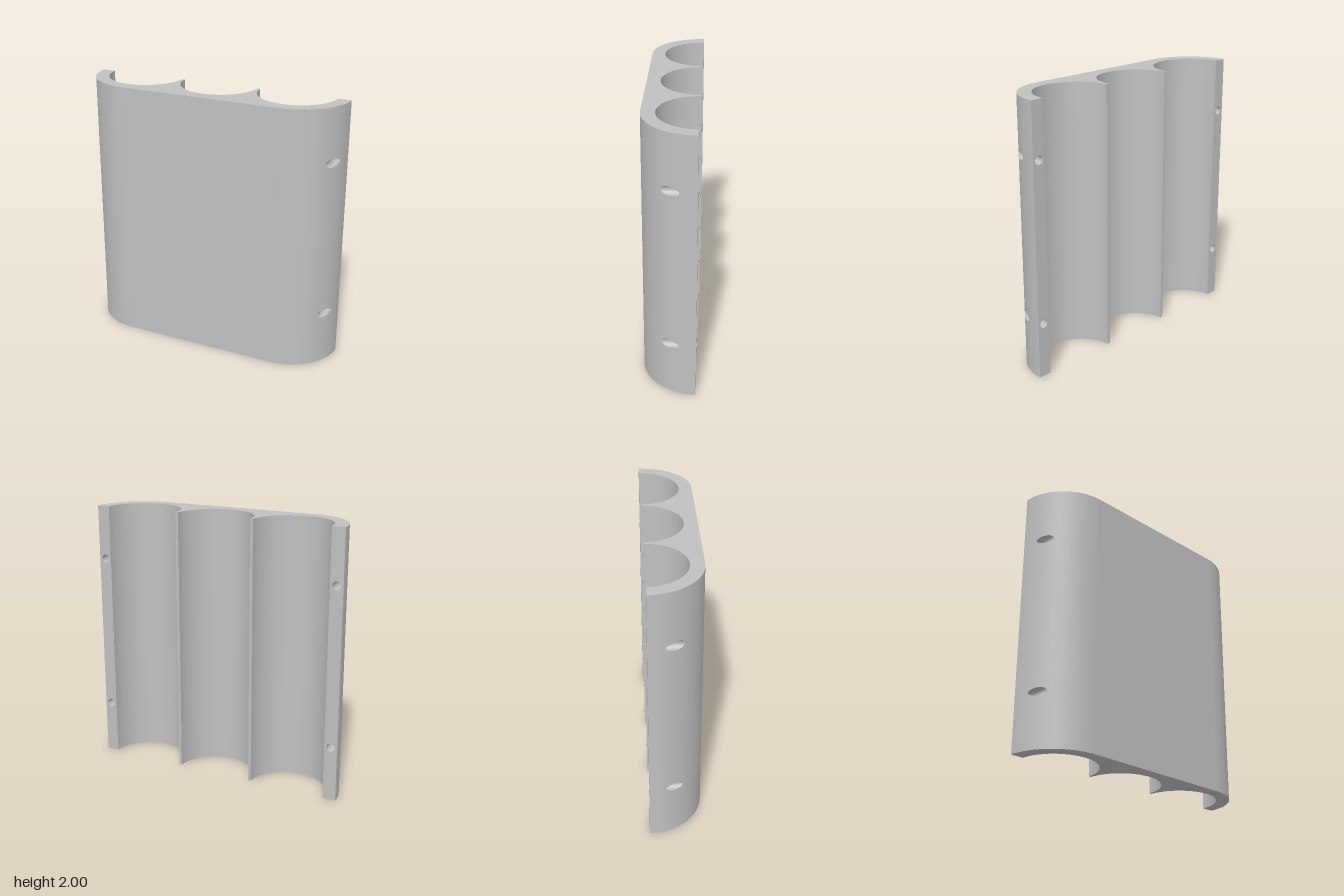
import * as THREE from 'three';
import { mergeGeometries } from 'three/addons/utils/BufferGeometryUtils.js';

const H = 2, BACK = -0.196;            // height, rear plane
const C = 0.608, R = 0.392, r = 0.293; // outer pocket centre, outer and pocket radius
const HX = 0.949, HR = 0.032, HOLES = [0.406, 1.594], PAD = 0.1;
const T = Math.PI / 4;                 // angle of the drilled strip of the outer curve
const SPANS = [[0, HOLES[0] - PAD], [HOLES[0] + PAD, HOLES[1] - PAD], [HOLES[1] + PAD, H]];

// Surface patch from f(u, v); side -1 mirrors in x, flip turns it over
function patch(nu, nv, f, side = 1, flip = false) {
  const pos = [], idx = [];
  for (let i = 0; i <= nu; i++) for (let j = 0; j <= nv; j++) {
    const [x, y, z] = f(i / nu, j / nv);
    pos.push(x * side, y, z);
  }
  for (let i = 0; i < nu; i++) for (let j = 0; j < nv; j++) {
    const a = i * (nv + 1) + j, b = a + nv + 1;
    if ((side < 0) !== flip) idx.push(a, b + 1, b, a, a + 1, b + 1);
    else idx.push(a, b, b + 1, a, b + 1, a + 1);
  }
  const g = new THREE.BufferGeometry();
  g.setAttribute('position', new THREE.Float32BufferAttribute(pos, 3));
  g.setIndex(idx);
  g.computeVertexNormals();
  return g;
}

// Upright wall following a plan curve p(u) -> [x, z]
const wall = (n, p, y0 = 0, y1 = H, side = 1) => patch(n, 1, (u, v) => {
  const [x, z] = p(u);
  return [x, y0 + (y1 - y0) * v, z];
}, side);

const arc = (cx, rad, t) => [cx + rad * Math.cos(t), BACK + rad * Math.sin(t)];
const lerp = (a, b, k) => a + (b - a) * k;
const ring = (v) => {
  const c = Math.cos(v * 2 * Math.PI), s = Math.sin(v * 2 * Math.PI);
  const m = Math.max(Math.abs(c), Math.abs(s));
  return { c, s, qx: c / m, qy: s / m };
};

// Exact normals of the rounded outer corner
function roundNormals(g, side) {
  const p = g.attributes.position;
  for (let i = 0; i < p.count; i++) {
    const n = new THREE.Vector3(p.getX(i) - side * C, 0, p.getZ(i) - BACK).normalize();
    g.attributes.normal.setXYZ(i, n.x, n.y, n.z);
  }
  return g;
}

export function createModel() {
  const group = new THREE.Group();
  const grey = new THREE.MeshStandardMaterial({ color: 0xc0c0c0 });
  grey.name = 'grey';
  const add = (name, ...geos) => {
    const mesh = new THREE.Mesh(geos.length > 1 ? mergeGeometries(geos) : geos[0], grey);
    mesh.name = name;
    group.add(mesh);
  };

  // Flat front
  add('frontPanel', wall(1, (u) => [lerp(-C, C, u), BACK + R]));

  // Three round pockets and the thin ridges between them
  for (const i of [-1, 0, 1]) add('pocket', wall(48, (u) => arc(i * C, r, u * Math.PI)));
  for (const side of [1, -1]) {
    add('ridgeEdge', wall(1, (u) => [lerp(C - r, r, u), BACK], 0, H, side));
  }

  for (const side of [1, -1]) {
    // Rounded outer corner and flat rear rim, both pierced by the screw holes
    const corner = [wall(12, (u) => arc(C, R, lerp(Math.PI / 2, T, u)), 0, H, side)];
    const rim = [], bores = [];
    for (const [y0, y1] of SPANS) {
      corner.push(wall(16, (u) => arc(C, R, T * (1 - u)), y0, y1, side));
      rim.push(wall(1, (u) => [lerp(C + R, C + r, u), BACK], y0, y1, side));
    }
    for (const yc of HOLES) {
      corner.push(patch(8, 48, (u, v) => {
        const { c, s, qx, qy } = ring(v);
        const t = lerp(Math.acos((HX + HR * c - C) / R), T / 2 * (1 - qx), u);
        const [x, z] = arc(C, R, t);
        return [x, yc + lerp(HR * s, PAD * qy, u), z];
      }, side));
      rim.push(patch(1, 48, (u, v) => {
        const { c, s, qx, qy } = ring(v);
        const x = lerp(HX + HR * c, C + (R + r) / 2 + (R - r) / 2 * qx, u);
        return [x, yc + lerp(HR * s, PAD * qy, u), BACK];
      }, side, true));
      bores.push(patch(48, 1, (u, v) => {
        const { c, s } = ring(u);
        const x = HX + HR * c;
        const front = BACK + Math.sqrt(R * R - (x - C) ** 2);
        return [x, yc + HR * s, lerp(front, BACK, v)];
      }, side));
    }
    const name = side > 0 ? 'left' : 'right';
    add(name + 'Corner', ...corner.map((g) => roundNormals(g, side)));
    add(name + 'RearRim', ...rim);
    add(name + 'ScrewHoles', ...bores);
  }

  // Top and bottom end faces share one plan outline
  const outline = [];
  const sweep = (cx, rad, a, b, n) => {
    for (let i = 0; i <= n; i++) outline.push(arc(cx, rad, lerp(a, b, i / n)));
  };
  sweep(-C, R, Math.PI, Math.PI / 2, 28);
  sweep(C, R, Math.PI / 2, 0, 28);
  for (const i of [1, 0, -1]) sweep(i * C, r, 0, Math.PI, 48);
  for (const s of [1, -1]) {
    const shape = new THREE.Shape(outline.map(([x, z]) => new THREE.Vector2(x, -s * z)));
    const g = new THREE.ShapeGeometry(shape).rotateX(-s * Math.PI / 2);
    add(s > 0 ? 'topFace' : 'bottomFace', g.translate(0, s > 0 ? H : 0, 0));
  }
  return group;
}
